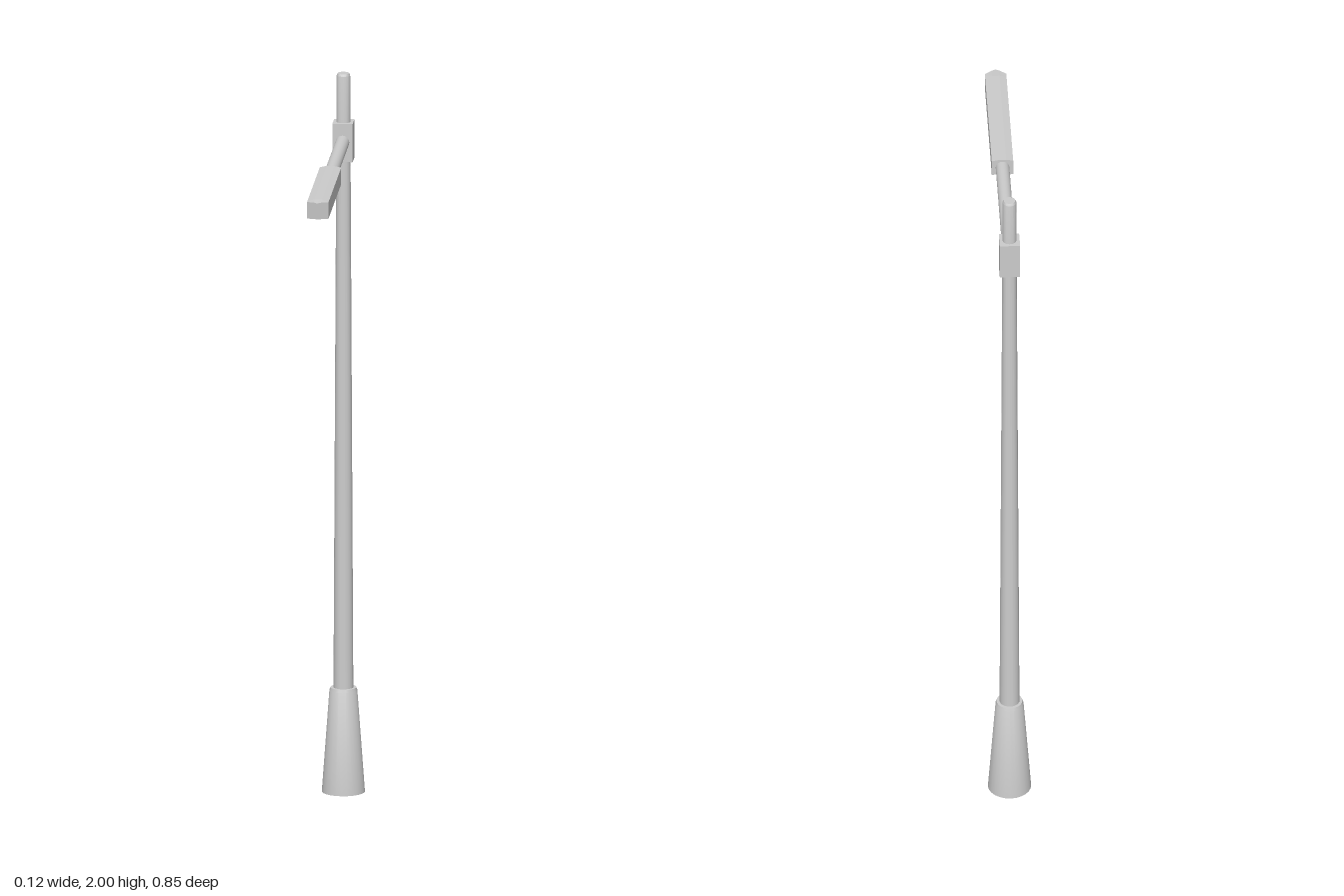
import * as THREE from 'three';
import { toCreasedNormals } from 'three/addons/utils/BufferGeometryUtils.js';

const material = new THREE.MeshStandardMaterial({ color: 0xcccccc });
const POLE_Z = -0.366;
const ARM_Y = 1.814;

function part(name, geometry, x = 0, y = 0, z = 0) {
  const mesh = new THREE.Mesh(geometry, material);
  mesh.name = name;
  mesh.position.set(x, y, z);
  return mesh;
}

// Turned part from [radius, height] pairs, with crisp shoulders
function turned(profile) {
  const points = profile.map(([r, y]) => new THREE.Vector2(r, y));
  return toCreasedNormals(new THREE.LatheGeometry(points, 24), 0.5);
}

// Lamp housing section: shallow pitched top, optional trough underneath
function housingSection(trough) {
  const top = [[0.029, 0.021], [0.01, 0.025], [0, 0.025], [-0.01, 0.025], [-0.029, 0.021], [-0.029, -0.025]];
  const bottom = trough
    ? [[-0.022, -0.025], [-0.018, -0.008], [0.018, -0.008], [0.022, -0.025]]
    : [[0, -0.025]];
  const outline = [...top, ...bottom, [0.029, -0.025]];
  return new THREE.Shape(outline.map(([x, y]) => new THREE.Vector2(x, y)));
}

function housing(from, to, trough, tip = 0) {
  const geometry = new THREE.ExtrudeGeometry(housingSection(trough), { depth: to - from, bevelEnabled: false });
  const p = geometry.attributes.position;
  // Draw the far end out to a blunt wedge, easing its top and bottom edges
  for (let i = 0; i < p.count; i++) {
    if (tip && p.getZ(i) > (to - from) / 2) {
      const pull = 1 - Math.abs(p.getX(i)) / 0.029;
      p.setZ(i, p.getZ(i) + tip * pull);
      p.setY(i, p.getY(i) * (1 - 0.12 * pull));
    }
  }
  return toCreasedNormals(geometry, 0.15);
}

export function createModel() {
  const model = new THREE.Group();
  model.name = 'streetLamp';

  // Flared foot and tapered pole
  model.add(part('base', turned([[0, 0], [0.0585, 0], [0.038, 0.282], [0.035, 0.29], [0, 0.29]]), 0, 0, POLE_Z));
  model.add(part('pole', turned([[0.027, 0.28], [0.0195, 1.77], [0.0185, 1.994], [0.0155, 2], [0, 2]]), 0, 0, POLE_Z));

  // Square clamp carrying the arm
  model.add(part('bracket', new THREE.BoxGeometry(0.055, 0.106, 0.055), 0, 1.812, POLE_Z));

  // Horizontal arm
  const armGeometry = new THREE.CylinderGeometry(0.0185, 0.0185, 0.375, 24).rotateX(Math.PI / 2);
  model.add(part('arm', armGeometry, 0, ARM_Y, -0.1575));

  // Lamp head: solid ends around an open trough
  const head = new THREE.Group();
  head.name = 'lampHead';
  head.position.y = ARM_Y;
  head.add(part('headBack', housing(0.02, 0.04, false), 0, 0, 0.02));
  head.add(part('headBody', housing(0.04, 0.39, true), 0, 0, 0.04));
  head.add(part('headTip', housing(0.39, 0.404, false, 0.018), 0, 0, 0.39));
  model.add(head);

  return model;
}
